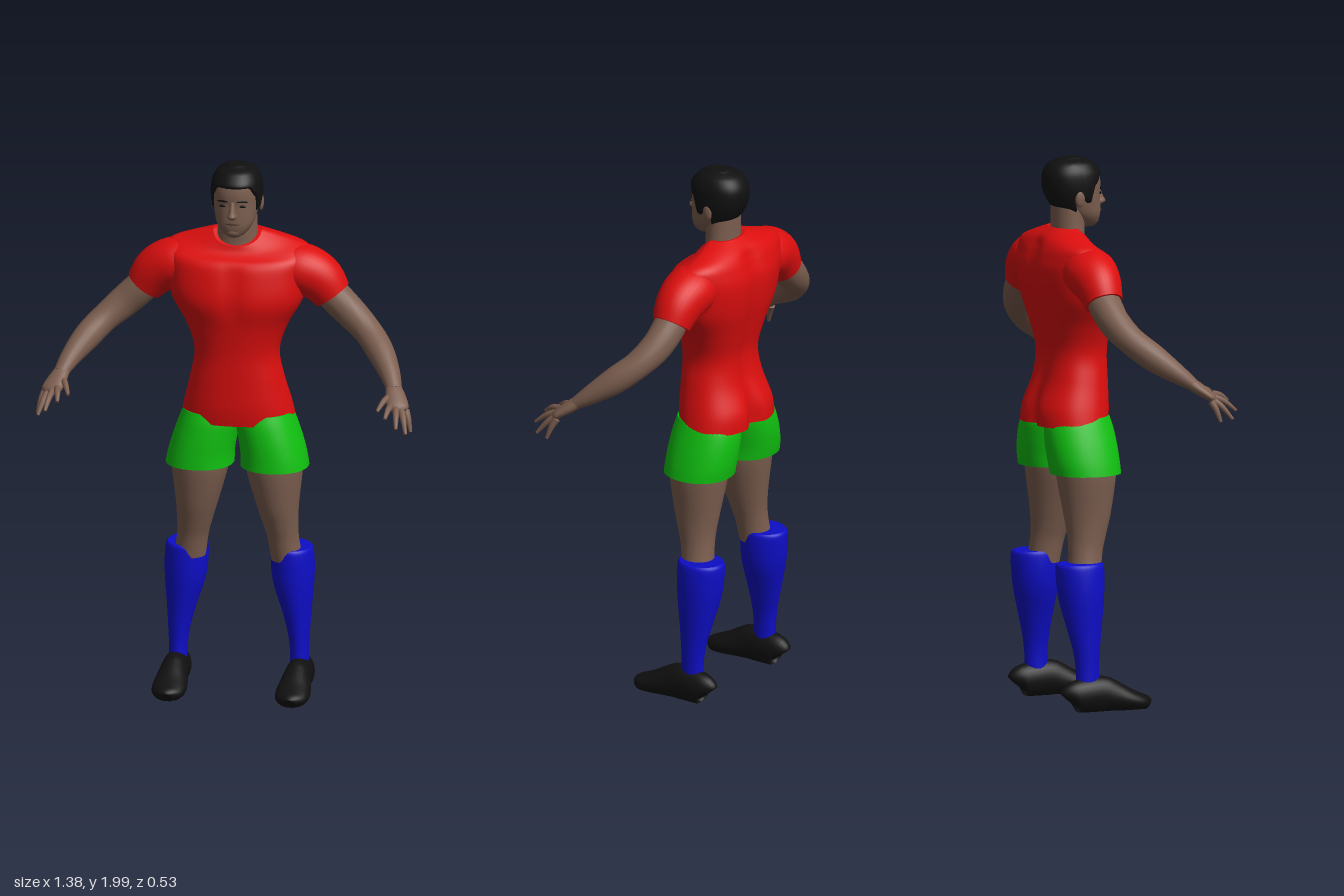
import * as THREE from 'three';

const mat = (name, color) => Object.assign(new THREE.MeshStandardMaterial({ color }), { name });

// Catmull-Rom blend of rows of numbers; t runs from 0 to rows.length - 1
function blend(rows, t) {
  const n = rows.length - 1, i = Math.min(Math.floor(t), n - 1), f = t - i;
  const [a, b, c, d] = [-1, 0, 1, 2].map(k => rows[Math.max(0, Math.min(n, i + k))]);
  return b.map((_, k) => 0.5 * (2 * b[k] + (c[k] - a[k]) * f
    + (2 * a[k] - 5 * b[k] + 4 * c[k] - d[k]) * f * f
    + (3 * b[k] - a[k] - 3 * c[k] + d[k]) * f * f * f));
}

// Closed skin over a list of rings of points, with separate flat caps
function skin(rings) {
  const n = rings[0].length, pos = [], idx = [];
  rings.forEach(r => r.forEach(p => pos.push(p.x, p.y, p.z)));
  for (let i = 0; i < rings.length - 1; i++) for (let j = 0; j < n; j++) {
    const a = i * n + j, b = i * n + (j + 1) % n;
    idx.push(a, b, a + n, b, b + n, a + n);
  }
  [rings[0], rings[rings.length - 1]].forEach((r, end) => {
    const c = r.reduce((s, p) => s.add(p), new THREE.Vector3()).divideScalar(n);
    const o = pos.length / 3;
    [...r, c].forEach(p => pos.push(p.x, p.y, p.z));
    for (let j = 0; j < n; j++) {
      const k = (j + 1) % n;
      idx.push(o + n, o + (end ? j : k), o + (end ? k : j));
    }
  });
  const g = new THREE.BufferGeometry();
  g.setAttribute('position', new THREE.Float32BufferAttribute(pos, 3));
  g.setIndex(idx);
  g.computeVertexNormals();
  return g;
}

// Point on an upright section [y, centre x, half width, front z, back z]
function sectionPoint([y, cx, rx, zf, zb], ang, pow = 1) {
  const sq = v => Math.sign(v) * Math.abs(v) ** pow;
  return new THREE.Vector3(cx + rx * sq(Math.cos(ang)), y, (zf + zb) / 2 - (zf - zb) / 2 * sq(Math.sin(ang)));
}
function upright(rows, { seg = 32, sub = 5, pow = 1, rule } = {}) {
  const rings = [];
  for (let k = 0; k <= (rows.length - 1) * sub; k++) {
    const row = blend(rows, k / sub);
    rings.push(Array.from({ length: seg }, (_, j) => {
      const p = sectionPoint(row, j / seg * Math.PI * 2, pow);
      if (rule) rule(p, row);
      return p;
    }));
  }
  return skin(rings);
}

// Limb along a path of [x, y, z, horizontal radius, other radius]
function limb(rows, { seg = 20, sub = 5, floor = -1 } = {}) {
  const n = (rows.length - 1) * sub, rings = [];
  const pts = Array.from({ length: n + 1 }, (_, k) => blend(rows, k / sub));
  const v3 = p => new THREE.Vector3(p[0], p[1], p[2]);
  for (let k = 0; k <= n; k++) {
    const d = v3(pts[Math.min(n, k + 1)]).sub(v3(pts[Math.max(0, k - 1)])).normalize();
    const u = d.clone().cross(new THREE.Vector3(0, 1, 0)).normalize(), v = d.clone().cross(u);
    rings.push(Array.from({ length: seg }, (_, j) => {
      const a = j / seg * Math.PI * 2;
      const p = v3(pts[k]).addScaledVector(u, pts[k][3] * Math.cos(a)).addScaledVector(v, pts[k][4] * Math.sin(a));
      p.y = Math.max(floor, p.y);
      return p;
    }));
  }
  return skin(rings);
}

function mirrored(g) {
  const m = g.clone().scale(-1, 1, 1), a = m.index.array;
  for (let i = 0; i < a.length; i += 3) [a[i], a[i + 1]] = [a[i + 1], a[i]];
  return m;
}

export function createModel() {
  const root = new THREE.Group();
  root.name = 'athlete';
  const red = mat('shirt red', 0xdc0e0e), green = mat('shorts green', 0x10c010), blue = mat('sock blue', 0x0e0ec8),
    skinTone = mat('skin brown', 0x7c5e4f), black = mat('black', 0x101010), lip = mat('lip brown', 0x573d33);
  const add = (name, g, m) => {
    const mesh = new THREE.Mesh(g, m);
    mesh.name = name;
    root.add(mesh);
  };
  const pair = (name, g, m) => { add(name + 'Left', g, m); add(name + 'Right', mirrored(g), m); };
  const smooth = THREE.MathUtils.smoothstep;

  // Shirt: spine and chest grooves, collar lowered at the front
  add('shirtBody', upright([
    [1.035, 0, 0.208, 0.015, -0.262], [1.1, 0, 0.195, 0.022, -0.258], [1.2, 0, 0.17, 0.022, -0.222],
    [1.3, 0, 0.154, 0.022, -0.212], [1.4, 0, 0.185, 0.032, -0.232], [1.5, 0, 0.24, 0.05, -0.255],
    [1.6, 0, 0.258, 0.032, -0.264], [1.66, 0, 0.268, 0.008, -0.25], [1.695, 0, 0.25, -0.018, -0.235],
    [1.722, 0, 0.175, -0.035, -0.215], [1.75, 0, 0.088, -0.045, -0.177]],
  { seg: 64, pow: 0.88, rule: (p, row) => {
    const f = (p.z - (row[3] + row[4]) / 2) / (row[3] - row[4]) * 2, y = p.y;
    const g = Math.exp(-((p.x / 0.035) ** 2));
    if (f < 0) p.z += g * (0.016 + 0.022 * (1 - smooth(y, 1.06, 1.18))) * (1 - smooth(y, 1.68, 1.74));
    else p.z -= g * 0.01 * smooth(y, 1.4, 1.5) * (1 - smooth(y, 1.6, 1.7));
    p.y -= 0.05 * Math.max(0, f) * smooth(y, 1.62, 1.75);
  } }), red);
  pair('sleeve', limb([[0.13, 1.6, -0.125, 0.08, 0.08], [0.22, 1.607, -0.125, 0.098, 0.092],
    [0.295, 1.572, -0.125, 0.086, 0.089], [0.345, 1.512, -0.125, 0.07, 0.071]], { seg: 32 }), red);

  // Arms and hands
  pair('arm', limb([[0.3, 1.565, -0.125, 0.055, 0.055], [0.355, 1.505, -0.123, 0.06, 0.06],
    [0.42, 1.445, -0.112, 0.055, 0.058], [0.485, 1.39, -0.078, 0.052, 0.051], [0.54, 1.335, -0.02, 0.049, 0.05],
    [0.585, 1.28, 0.05, 0.038, 0.037], [0.612, 1.237, 0.108, 0.028, 0.023]]), skinTone);
  pair('palm', limb([[0.605, 1.246, 0.095, 0.028, 0.023], [0.62, 1.22, 0.13, 0.037, 0.022],
    [0.635, 1.193, 0.168, 0.04, 0.017], [0.64, 1.183, 0.18, 0.028, 0.01]]), skinTone);
  [[0.60, 1.17, 0.25], [0.643, 1.138, 0.264], [0.674, 1.112, 0.236], [0.684, 1.106, 0.185], [0.566, 1.187, 0.215]]
    .forEach((t, i) => {
      const k = i - 1.5;
      const b = i < 4 ? [0.637 + 0.017 * k, 1.19 - 0.007 * k, 0.168 - 0.008 * k] : [0.6, 1.222, 0.13];
      const mid = b.map((c, j) => (c + t[j]) / 2 + (j === 1 ? 0.008 : 0));
      pair('finger' + (i + 1), limb([[...b, 0.013, 0.013], [...mid, 0.011, 0.011], [...t, 0.006, 0.006]],
        { seg: 10, sub: 4 }), skinTone);
    });

  // Shorts, legs, socks and shoes
  pair('shortsLeg', upright([[1.07, 0.1, 0.098, 0.0, -0.225], [1.03, 0.104, 0.11, 0.012, -0.24],
    [0.97, 0.119, 0.116, 0.02, -0.243], [0.91, 0.132, 0.12, 0.024, -0.238],
    [0.865, 0.137, 0.124, 0.026, -0.23]].reverse(), { seg: 40, pow: 0.93 }), green);
  pair('thigh', upright([[0.5, 0.178, 0.058, -0.065, -0.185], [0.58, 0.166, 0.057, -0.052, -0.178],
    [0.64, 0.157, 0.064, -0.035, -0.178], [0.72, 0.147, 0.078, -0.012, -0.188],
    [0.85, 0.136, 0.103, 0.01, -0.207], [0.92, 0.134, 0.104, 0.008, -0.21]]), skinTone);
  pair('sock', upright([[0.06, 0.222, 0.034, -0.085, -0.175], [0.15, 0.222, 0.034, -0.09, -0.176],
    [0.22, 0.219, 0.04, -0.086, -0.184], [0.3, 0.211, 0.053, -0.077, -0.203], [0.4, 0.199, 0.073, -0.064, -0.227],
    [0.47, 0.195, 0.079, -0.06, -0.237], [0.53, 0.193, 0.077, -0.06, -0.24],
    [0.545, 0.192, 0.07, -0.066, -0.232]]), blue);
  pair('shoe', limb([[-0.202, 0.025, 0.095], [-0.188, 0.042, 0.118], [-0.14, 0.048, 0.13], [-0.08, 0.05, 0.134],
    [-0.04, 0.055, 0.118], [0.02, 0.063, 0.086], [0.065, 0.06, 0.066], [0.092, 0.045, 0.055], [0.105, 0.022, 0.042]]
    .map(([z, w, h]) => [0.226, h / 2, z, w, h / 2]), { seg: 28, floor: 0.006 }), black);

  // Neck and head
  add('neck', upright([[1.64, 0, 0.085, -0.04, -0.175], [1.7, 0, 0.079, -0.05, -0.17],
    [1.75, 0, 0.073, -0.05, -0.168], [1.84, 0, 0.07, -0.05, -0.17]]), skinTone);
  const headRows = [[1.745, 0, 0.02, -0.008, -0.06], [1.758, 0, 0.042, 0.004, -0.09], [1.79, 0, 0.066, 0.012, -0.125],
    [1.83, 0, 0.078, 0.012, -0.165], [1.87, 0, 0.084, 0.01, -0.187], [1.91, 0, 0.086, 0.012, -0.196],
    [1.95, 0, 0.081, 0.003, -0.191], [1.978, 0, 0.062, -0.025, -0.168], [1.994, 0, 0.025, -0.065, -0.125]];
  add('head', upright(headRows, { pow: 0.92 }), skinTone);
  const headAt = (y, ang, grow) => {
    let i = 0;
    while (i < headRows.length - 2 && headRows[i + 1][0] < y) i++;
    const y0 = headRows[i][0], row = blend(headRows, i + (y - y0) / (headRows[i + 1][0] - y0));
    return sectionPoint([y, 0, row[2] + grow, row[3] + grow, row[4] - grow], ang, 0.92);
  };

  // Hair: follows the head above a hairline with sideburns
  const hairline = f => 1.79 + 0.075 * smooth(f, -0.5, -0.2) - 0.025 * smooth(f, -0.05, 0.1)
    + 0.06 * smooth(f, 0.28, 0.5) + 0.035 * smooth(f, 0.5, 0.8);
  const hair = [];
  for (let k = 0; k <= 18; k++) hair.push(Array.from({ length: 64 }, (_, j) => {
    const a = j / 64 * Math.PI * 2, y0 = hairline(-Math.sin(a));
    const y = y0 + (1.994 - y0) * Math.sin(k / 18 * Math.PI / 2), p = headAt(y, a, k ? 0.008 : 0.001);
    p.y += 0.006 * smooth(y, 1.95, 1.99);
    return p;
  }));
  add('hair', skin(hair), black);

  // Face
  add('nose', upright([[1.82, 0, 0.012, 0.022, -0.01], [1.832, 0, 0.018, 0.04, -0.01], [1.85, 0, 0.012, 0.032, -0.01],
    [1.885, 0, 0.009, 0.016, -0.01]], { seg: 16 }), skinTone);
  const blob = (x, y, z, rx, ry, rz) => new THREE.SphereGeometry(1, 16, 10).scale(rx, ry, rz).translate(x, y, z);
  const ang = -Math.PI / 2 + 0.4;
  const eye = headAt(1.868, ang, 0), brow = headAt(1.886, ang, 0);
  pair('eye', blob(eye.x, eye.y, eye.z, 0.014, 0.005, 0.004), black);
  pair('eyebrow', blob(0, 0, 0, 0.022, 0.004, 0.004).rotateY(0.25).translate(brow.x, brow.y, brow.z), black);
  add('mouth', blob(0, 1.803, 0.012, 0.027, 0.005, 0.005), lip);
  add('chin', blob(0, 1.768, -0.008, 0.028, 0.018, 0.018), skinTone);
  pair('ear', blob(0.087, 1.858, -0.1, 0.01, 0.032, 0.019), skinTone);
  return root;
}
